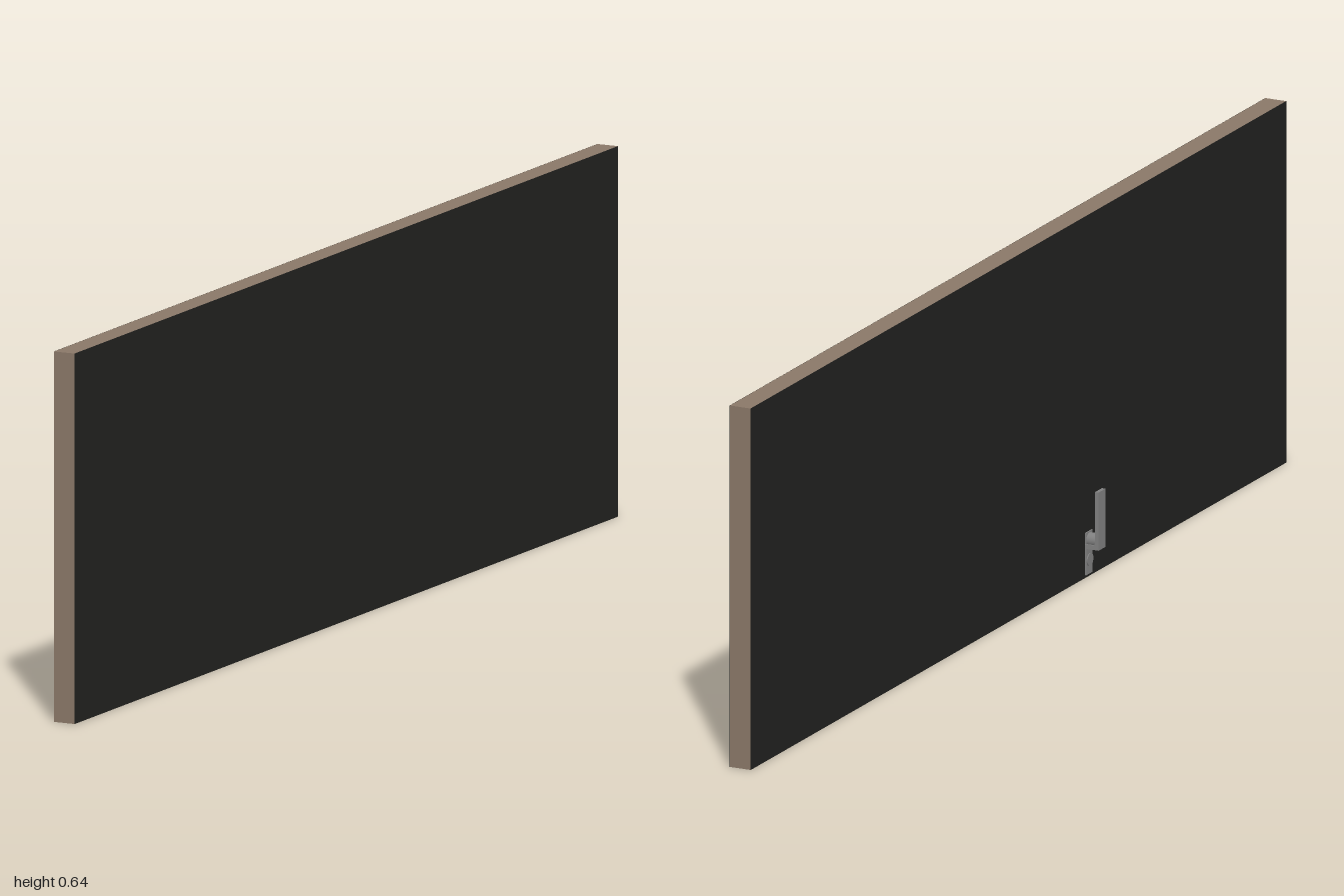
import * as THREE from 'three';

const tan = new THREE.MeshStandardMaterial({ color: 0x8a7868 });
const dark = new THREE.MeshStandardMaterial({ color: 0x222220 });
const steel = new THREE.MeshStandardMaterial({ color: 0x808080 });

// Box given by its min and max corners
function box(name, min, max, material) {
  const size = max.map((v, i) => v - min[i]);
  const mesh = new THREE.Mesh(new THREE.BoxGeometry(...size), material);
  mesh.position.set(...max.map((v, i) => (v + min[i]) / 2));
  mesh.name = name;
  return mesh;
}

// Cylinder lying along x
function pin(name, radius, x0, x1, y, z) {
  const geometry = new THREE.CylinderGeometry(radius, radius, x1 - x0, 24).rotateZ(Math.PI / 2);
  const mesh = new THREE.Mesh(geometry, steel);
  mesh.position.set((x0 + x1) / 2, y, z);
  mesh.name = name;
  return mesh;
}

export function createModel() {
  const model = new THREE.Group();
  model.name = 'flapPanel';
  const left = -0.007, right = 0.033, skin = 0.0005, height = 0.64;

  // Tan board with a dark sheet on both faces
  model.add(box('board', [left + skin, 0, -1], [right - skin, height, 1], tan));
  model.add(box('innerFace', [left, 0, -1], [left + skin, height, 1], dark));
  model.add(box('outerFace', [right - skin, 0, -1], [right, height, 1], dark));

  // Lever handle on the inner face
  const handle = new THREE.Group();
  handle.name = 'handle';
  const z = 0.261;
  handle.add(box('backPlate', [-0.009, 0.005, z - 0.012], [left, 0.08, z + 0.012], steel));
  handle.add(pin('lockCylinder', 0.011, -0.011, left, 0.03, z));
  handle.add(pin('spindle', 0.012, -0.028, left, 0.066, z));

  // Bent lever: short foot, rounded inner corner and upright grip
  const profile = new THREE.Shape();
  profile.moveTo(left, 0.052);
  profile.lineTo(-0.033, 0.052);
  profile.lineTo(-0.033, 0.155);
  profile.lineTo(-0.026, 0.155);
  profile.lineTo(-0.026, 0.065);
  profile.quadraticCurveTo(-0.026, 0.06, -0.021, 0.06);
  profile.lineTo(left, 0.06);
  profile.closePath();
  const lever = new THREE.Mesh(
    new THREE.ExtrudeGeometry(profile, { depth: 0.026, bevelEnabled: false, curveSegments: 6 }), steel);
  lever.position.z = z - 0.013;
  lever.name = 'lever';
  handle.add(lever);

  model.add(handle);
  return model;
}
